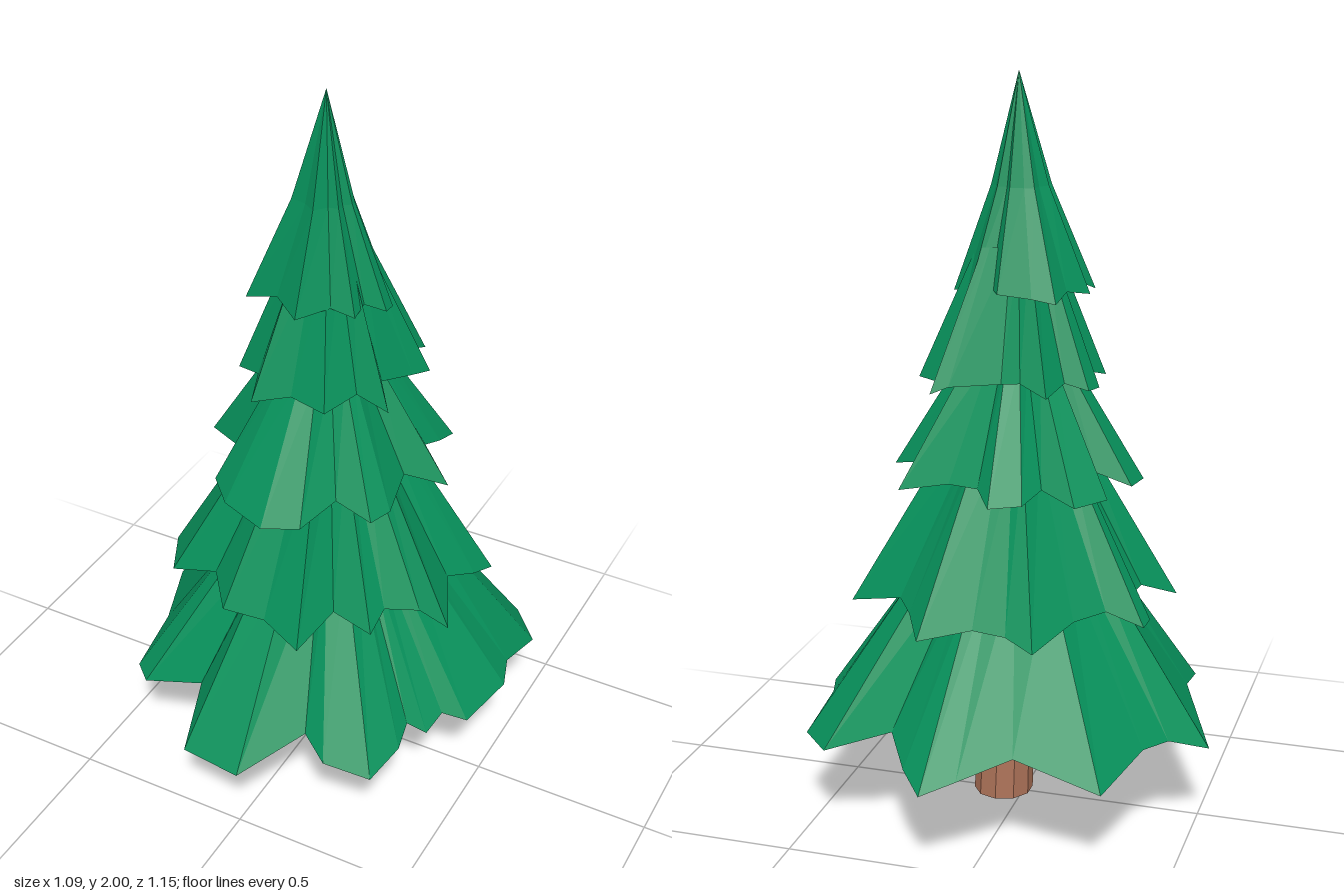
import * as THREE from 'three';

const foliage = new THREE.MeshStandardMaterial({ color: 0x07915b, flatShading: true, side: THREE.DoubleSide });
const bark = new THREE.MeshStandardMaterial({ color: 0xae7359, flatShading: true });
foliage.name = 'foliage green';
bark.name = 'bark brown';

// One skirt of branches: a ragged rim (x, z pairs seen from above) drawn up through
// smaller rings [scale, y]. The rim rises where it is notched inward from nearby tips.
function branchTier(name, rim, { centre: [cx, cz], tipY, rise, rings }) {
  const pts = [];
  for (let i = 0; i < rim.length; i += 2) pts.push([rim[i] - cx, rim[i + 1] - cz]);
  const n = pts.length;
  const radii = pts.map(([x, z]) => Math.hypot(x, z));
  const lift = radii.map((r, i) =>
    rise * (Math.max(...[-2, -1, 0, 1, 2].map((k) => radii[(i + k + n) % n])) - r));
  const rows = [
    pts.map(([x, z], i) => [cx + x, tipY + lift[i], cz + z]),
    ...rings.map(([s, y]) => pts.map(([x, z]) => [cx + x * s, y, cz + z * s])),
  ];
  const pos = [];
  for (let r = 0; r + 1 < rows.length; r++) {
    for (let i = 0; i < n; i++) {
      const j = (i + 1) % n;
      const [a, b, A, B] = [rows[r][i], rows[r][j], rows[r + 1][i], rows[r + 1][j]];
      pos.push(...b, ...a, ...A);
      if (rings[r][0] > 0) pos.push(...b, ...A, ...B);
    }
  }
  const geo = new THREE.BufferGeometry();
  geo.setAttribute('position', new THREE.Float32BufferAttribute(pos, 3));
  geo.computeVertexNormals();
  const mesh = new THREE.Mesh(geo, foliage);
  mesh.name = name;
  return mesh;
}

// Tapered round trunk that leans slightly as it rises
function makeTrunk() {
  const height = 1.3;
  const geo = new THREE.CylinderGeometry(0.06, 0.082, height, 10);
  geo.translate(0, height / 2, 0);
  const p = geo.attributes.position;
  for (let i = 0; i < p.count; i++) {
    const t = p.getY(i) / height;
    p.setX(i, p.getX(i) + 0.06 - 0.045 * t);
    p.setZ(i, p.getZ(i) + 0.008 + 0.012 * t);
  }
  geo.computeVertexNormals();
  const mesh = new THREE.Mesh(geo, bark);
  mesh.name = 'trunk';
  return mesh;
}

export function createModel() {
  const tree = new THREE.Group();
  tree.name = 'pineTree';
  tree.add(makeTrunk());

  tree.add(branchTier('bottomBranches', [
    0.105, -0.58, 0.17, -0.51, 0.24, -0.4, 0.43, -0.41, 0.52, -0.31, 0.51, -0.14, 0.54, -0.05,
    0.5, 0.11, 0.44, 0.145, 0.425, 0.21, 0.38, 0.24, 0.39, 0.31, 0.36, 0.42, 0.24, 0.46,
    0.165, 0.42, 0.04, 0.575, -0.135, 0.555, -0.18, 0.385, -0.365, 0.385, -0.42, 0.335,
    -0.43, 0.16, -0.545, -0.1, -0.45, -0.175, -0.4, -0.255, -0.335, -0.445, -0.105, -0.45, 0.02, -0.535,
  ], { centre: [0.02, 0.01], tipY: 0.25, rise: 0.6, rings: [[0.4, 0.74]] }));

  tree.add(branchTier('lowerBranches', [
    -0.14, -0.395, -0.06, -0.365, 0.03, -0.36, 0.17, -0.395, 0.22, -0.305, 0.27, -0.235,
    0.435, -0.165, 0.415, -0.09, 0.37, -0.01, 0.44, 0.13, 0.36, 0.14, 0.285, 0.2, 0.28, 0.27,
    0.17, 0.27, 0.13, 0.4, 0.01, 0.36, -0.11, 0.37, -0.19, 0.27, -0.335, 0.26, -0.4, 0.13,
    -0.32, 0.045, -0.31, -0.06, -0.375, -0.09, -0.37, -0.14, -0.275, -0.17, -0.21, -0.255,
  ], { centre: [0.02, 0.015], tipY: 0.59, rise: 0.5, rings: [[0.4, 1.04]] }));

  tree.add(branchTier('middleBranches', [
    -0.21, -0.255, -0.115, -0.225, -0.085, -0.3, 0, -0.32, 0.045, -0.26, 0.13, -0.24,
    0.27, -0.235, 0.265, -0.16, 0.25, -0.1, 0.36, -0.01, 0.26, 0.05, 0.285, 0.18, 0.26, 0.24,
    0.16, 0.24, 0.115, 0.35, 0.02, 0.385, -0.11, 0.34, -0.18, 0.27, -0.19, 0.14, -0.32, 0.045,
    -0.31, -0.05, -0.22, -0.07, -0.275, -0.17,
  ], { centre: [0.02, 0.02], tipY: 0.94, rise: 0.4, rings: [[0.4, 1.27]] }));

  tree.add(branchTier('upperBranches', [
    0, -0.2, 0.14, -0.205, 0.185, -0.22, 0.18, -0.17, 0.255, -0.1, 0.23, -0.05, 0.19, 0.05,
    0.24, 0.11, 0.155, 0.12, 0.11, 0.21, 0.01, 0.2, -0.09, 0.23, -0.12, 0.14, -0.2, 0.1,
    -0.17, 0.03, -0.215, -0.03, -0.2, -0.08, -0.14, -0.1, -0.115, -0.185, -0.04, -0.165,
  ], { centre: [0.02, 0.02], tipY: 1.2, rise: 0.5, rings: [[0.4, 1.56]] }));

  // Pointed crown, closing at the tip
  tree.add(branchTier('crown', [
    -0.12, -0.115, -0.06, -0.13, 0.03, -0.135, 0.06, -0.09, 0.115, -0.115, 0.14, -0.06,
    0.185, -0.015, 0.185, 0.02, 0.14, 0.055, 0.14, 0.105, 0.08, 0.12, 0.02, 0.195,
    -0.06, 0.14, -0.165, 0.115, -0.135, 0.055, -0.175, 0.02, -0.13, -0.045,
  ], { centre: [0.02, 0.03], tipY: 1.43, rise: 0.6, rings: [[0.42, 1.71], [0, 2]] }));

  return tree;
}
